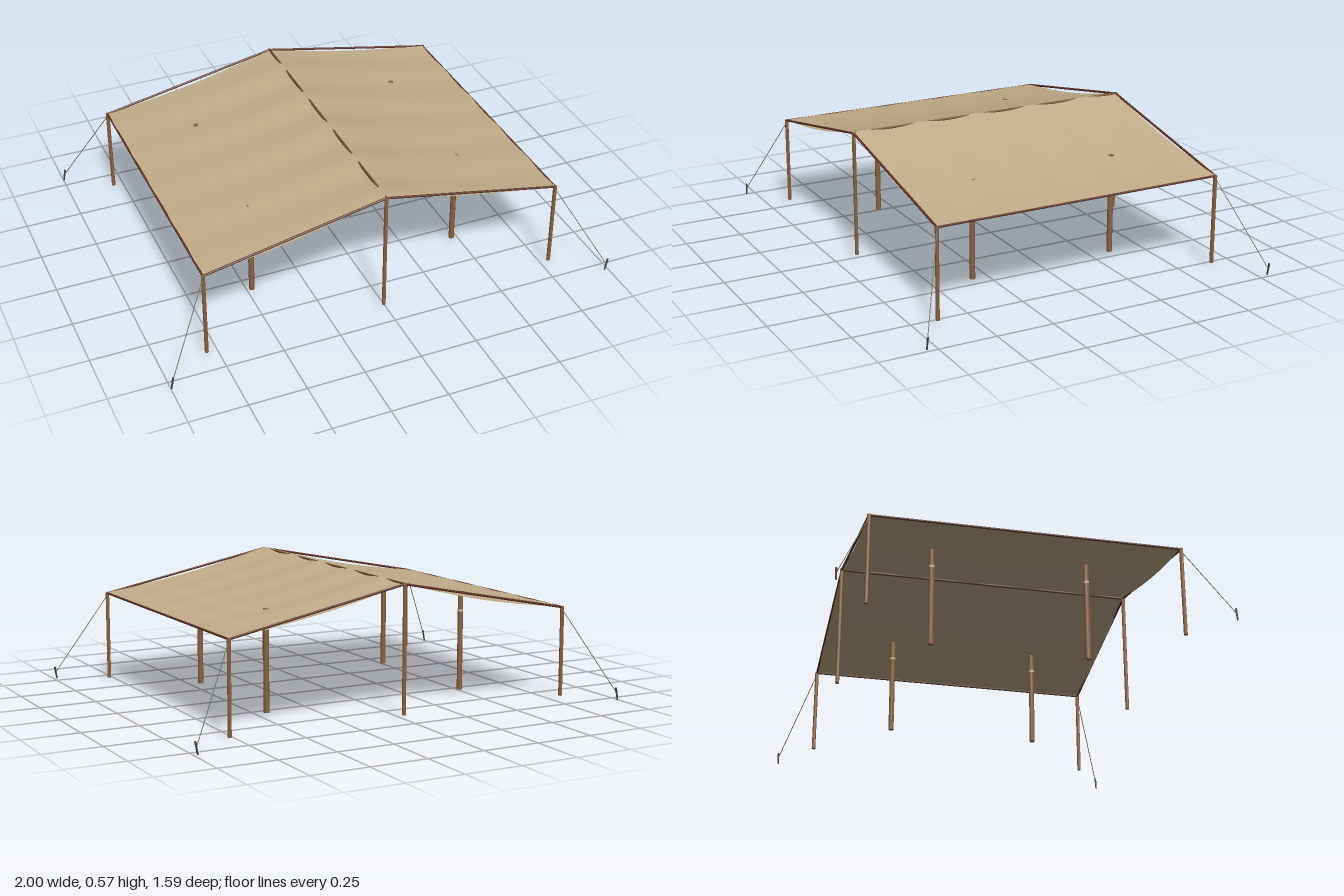
import * as THREE from 'three';

const CX = -0.007, HALF_X = 0.791, HALF_Z = 0.648;
const RIDGE_Y = 0.558, EAVE_Y = 0.401;

const mat = (name, color, side = THREE.FrontSide) => {
  const m = new THREE.MeshStandardMaterial({ color, side });
  m.name = name;
  return m;
};

export function createModel() {
  const group = new THREE.Group();
  const canvas = mat('canvas', 0xc2ad8a, THREE.DoubleSide);
  const poleWood = mat('pole wood', 0x8b6341);
  const ridgeWood = mat('ridge wood', 0x6e4d33);
  const beamWood = mat('dark beam wood', 0x623528);
  const ropeMat = mat('rope', 0x857860);
  const lashMat = mat('lashing', 0xc9b48e);
  const iron = mat('iron', 0x4a4542);

  const add = (name, geo, material) => {
    const mesh = new THREE.Mesh(geo, material);
    mesh.name = name;
    group.add(mesh);
    return mesh;
  };

  // round bar between two points
  const bar = (name, a, b, r, material, sides = 8, rTop = r) => {
    const p = new THREE.Vector3(...a), q = new THREE.Vector3(...b);
    const dir = q.clone().sub(p);
    const mesh = add(name, new THREE.CylinderGeometry(rTop, r, dir.length(), sides), material);
    mesh.position.copy(p).add(q).multiplyScalar(0.5);
    mesh.quaternion.setFromUnitVectors(new THREE.Vector3(0, 1, 0), dir.normalize());
  };

  // sagging, gently rippled canvas: one panel per slope
  for (const s of [-1, 1]) {
    const geo = new THREE.PlaneGeometry(1, 1, 20, 64);
    const pos = geo.attributes.position;
    for (let i = 0; i < pos.count; i++) {
      const across = pos.getX(i) + 0.5;
      const u = s > 0 ? across : 1 - across;
      const x = s * HALF_X * u, z = -pos.getY(i) * 2 * HALF_Z;
      const sag = 0.018 * Math.sin(Math.PI * u);
      const ripple = 0.004 * Math.sin(23.4 * z - 2 * x) * (1 - 0.6 * u);
      const y = RIDGE_Y + 0.003 + (EAVE_Y - RIDGE_Y) * u - sag + ripple;
      pos.setXYZ(i, CX + x, y, z);
    }
    geo.computeVertexNormals();
    add(s > 0 ? 'leftCanvas' : 'rightCanvas', geo, canvas);
  }

  // ridge and eave beams
  bar('ridgeBeam', [CX, RIDGE_Y, -HALF_Z], [CX, RIDGE_Y, HALF_Z], 0.006, ridgeWood);
  for (const s of [-1, 1]) {
    const x = CX + s * HALF_X;
    bar('eaveBeam', [x, EAVE_Y, -HALF_Z], [x, EAVE_Y, HALF_Z], 0.005, beamWood);
  }

  for (const sz of [-1, 1]) {
    const z = sz * HALF_Z;
    bar('ridgePost', [CX, 0.012, z], [CX, 0.562, z], 0.0085, poleWood);

    for (const sx of [-1, 1]) {
      const x = CX + sx * HALF_X;
      bar('rafter', [CX, RIDGE_Y, z], [x, EAVE_Y, z], 0.005, beamWood);
      bar('cornerPost', [x, 0.012, z], [x, 0.404, z], 0.0085, poleWood);

      // inner pole with its lashing
      const ix = CX + sx * 0.475, iz = sz * 0.333;
      bar('innerPole', [ix, 0.012, iz], [ix, 0.45, iz], 0.012, poleWood, 10);
      const ring = add('lashing', new THREE.CylinderGeometry(0.0128, 0.0128, 0.012, 10), lashMat);
      ring.position.set(ix, 0.367, iz);

      // guy rope and leaning stake
      const kx = sx * 0.991 - 0.002, kz = sz * 0.792;
      bar('guyRope', [x, 0.392, z], [kx, 0.03, kz], 0.0018, ropeMat, 6);
      bar('stake', [kx - 0.005, 0, kz], [kx + 0.005, 0.054, kz], 0.0035, iron, 6, 0.0045);
    }
  }
  return group;
}
